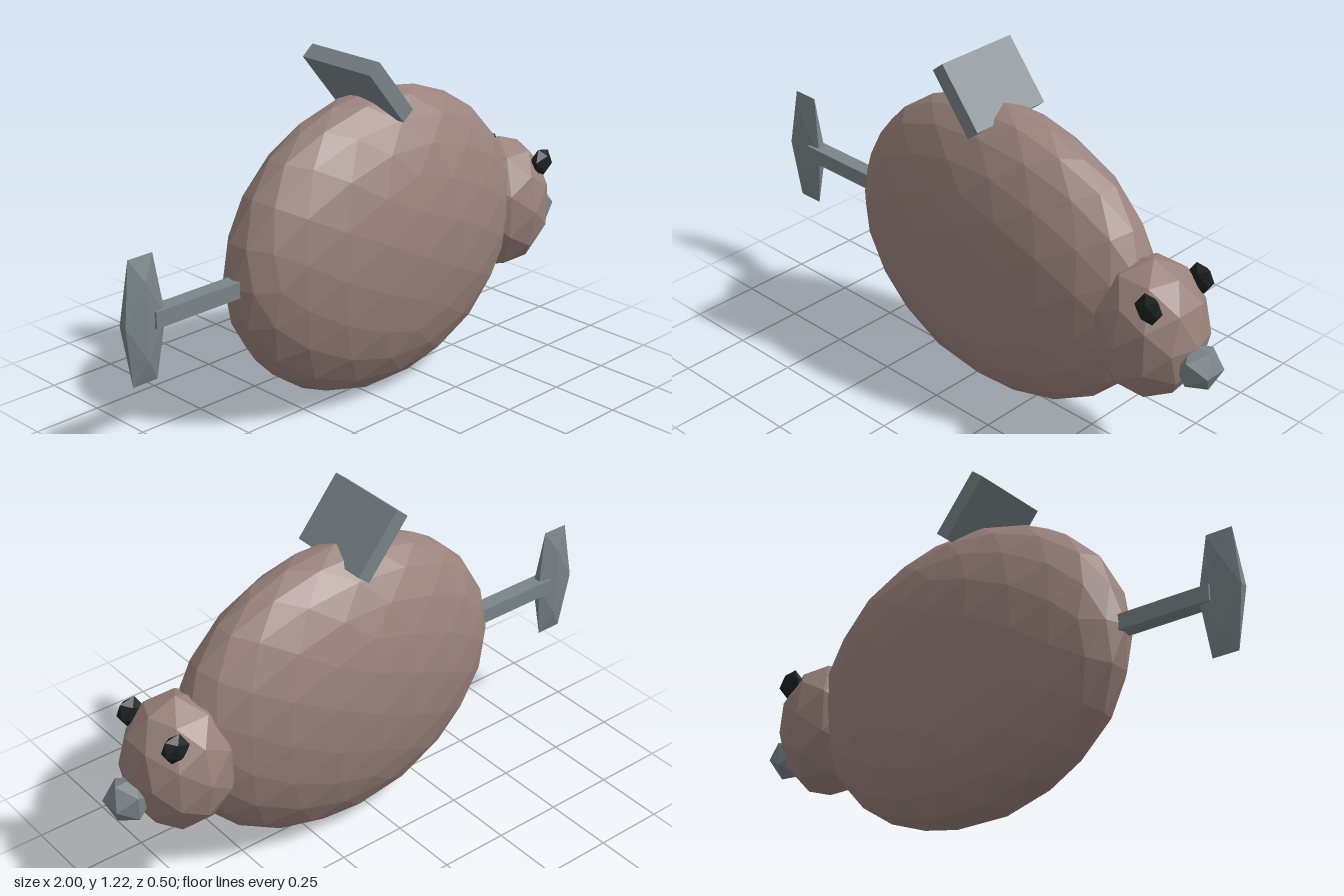
import * as THREE from 'three';

const material = (color) => new THREE.MeshStandardMaterial({ color, flatShading: true });

export function createModel() {
  const model = new THREE.Group();
  const skin = material(0x9a827c);
  const fin = material(0x7b8589);
  const dark = material(0x1c2020);

  const add = (name, geometry, mat, position, tilt = 0) => {
    const mesh = new THREE.Mesh(geometry, mat);
    mesh.name = name;
    mesh.position.set(...position);
    mesh.rotation.z = tilt;
    model.add(mesh);
    return mesh;
  };

  // Faceted ellipsoid, given its three radii
  const ball = (name, radii, detail, mat, position, tilt) =>
    add(name, new THREE.IcosahedronGeometry(1, detail).scale(...radii), mat, position, tilt);

  // Tall, narrow body and the head at its +x end
  ball('body', [0.65, 0.537, 0.252], 3, skin, [0.09, 0.54, 0]);
  ball('head', [0.197, 0.25, 0.19], 1, skin, [0.73, 0.51, 0]);
  ball('nose', [0.08, 0.08, 0.081], 0, fin, [0.932, 0.446, 0]);

  // Eyes on both sides of the head
  for (const side of [1, -1]) {
    ball(side > 0 ? 'eyeFront' : 'eyeBack', [0.053, 0.055, 0.03], 0, dark,
      [0.82, 0.669, side * 0.128], -0.2);
  }

  // Slanted plate on the back
  add('backFin', new THREE.BoxGeometry(0.249, 0.057, 0.315), fin, [0.0125, 1.113, 0], -0.885);

  // Tail rod with a flat faceted paddle
  add('tailRod', new THREE.BoxGeometry(0.39, 0.057, 0.058), fin, [-0.695, 0.543, 0]);
  ball('tailFin', [0.092, 0.253, 0.028], 0, fin, [-0.922, 0.545, 0]);

  return model;
}
